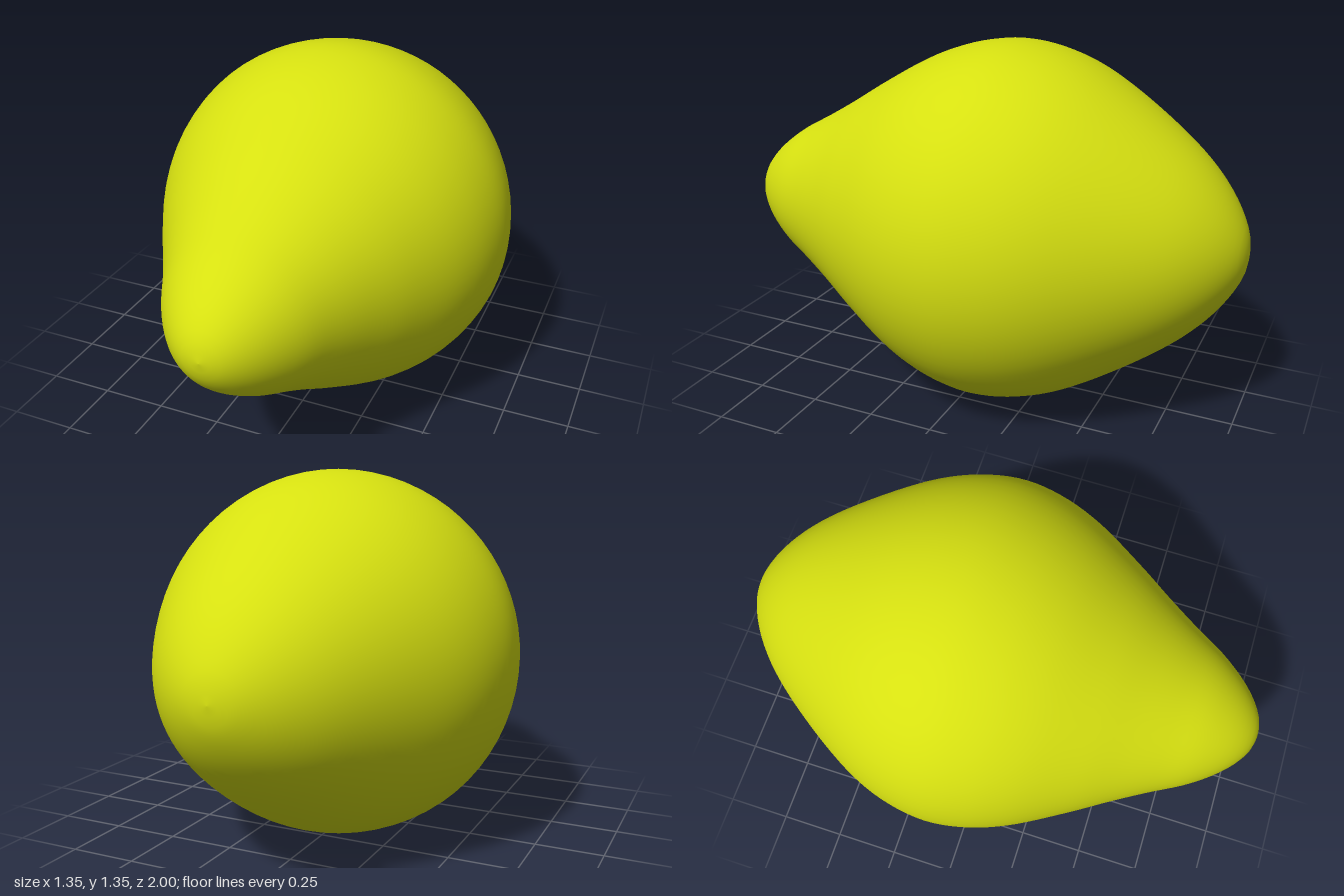
import * as THREE from 'three';

// Fruit outline: [distance along the axis, radius], from blunt back end to nippled front tip
const PROFILE = [
  [-1, 0], [-0.99, 0.07], [-0.96, 0.14], [-0.9, 0.23], [-0.8, 0.335], [-0.6, 0.485],
  [-0.4, 0.603], [-0.25, 0.657], [-0.1, 0.677], [0.05, 0.656], [0.2, 0.602], [0.4, 0.49],
  [0.55, 0.396], [0.67, 0.325], [0.8, 0.252], [0.9, 0.176], [0.96, 0.11], [0.99, 0.055], [1, 0],
];

export function createModel() {
  const group = new THREE.Group();
  group.name = 'lemon';

  // Smooth the outline, then pin both ends to the axis
  const curve = new THREE.CatmullRomCurve3(
    PROFILE.map(([along, radius]) => new THREE.Vector3(radius, along, 0)), false, 'centripetal');
  const outline = curve.getSpacedPoints(72).map(p => new THREE.Vector2(Math.max(p.x, 0), p.y));
  outline[0].x = outline[outline.length - 1].x = 0;

  // Turn the outline, lay the axis along z with the tip forward, and rest the belly on the ground
  const geometry = new THREE.LatheGeometry(outline, 72);
  geometry.rotateX(Math.PI / 2);
  geometry.translate(0, 0.677, 0);

  const peel = new THREE.Mesh(geometry, new THREE.MeshStandardMaterial({ color: 0xd6e010 }));
  peel.name = 'peel';
  group.add(peel);
  return group;
}
